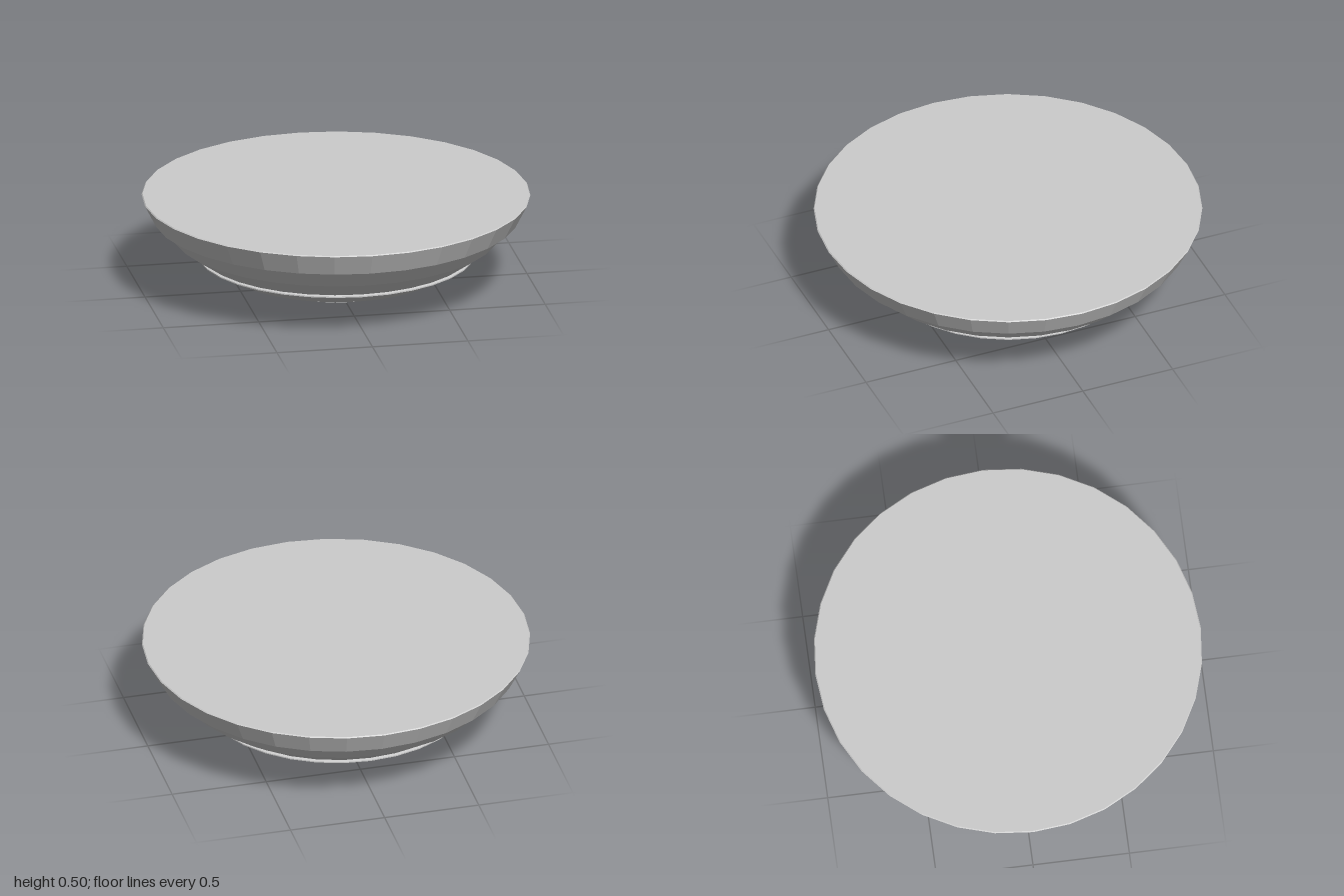
import * as THREE from 'three';

const SIDES = 32;
const material = new THREE.MeshStandardMaterial({ color: 0xcccccc, flatShading: true });

// Turns a list of [radius, height] pairs into a faceted ring
function turned(name, profile) {
  const points = profile.map(([r, y]) => new THREE.Vector2(r, y));
  const mesh = new THREE.Mesh(new THREE.LatheGeometry(points, SIDES), material);
  mesh.name = name;
  return mesh;
}

export function createModel() {
  const group = new THREE.Group();
  group.name = 'shallowDish';
  group.add(
    // Flat base flaring to the first small step
    turned('foot', [[0, 0], [0.2, 0], [0.385, 0.037], [0.385, 0.043], [0.37, 0.046]]),
    // Narrow band leading to an overhanging ledge
    turned('lowerBand', [[0.37, 0.046], [0.535, 0.1], [0.565, 0.1]]),
    turned('middleBand', [[0.565, 0.1], [0.715, 0.174], [0.715, 0.18], [0.7, 0.184]]),
    // Rounded wall in two slopes
    turned('upperWall', [[0.7, 0.184], [0.835, 0.277], [0.925, 0.378], [0.942, 0.378]]),
    // Rim with a fine bevel
    turned('rim', [[0.942, 0.378], [1, 0.492], [0.995, 0.497]]),
    // Closed flat top
    turned('topSurface', [[0.995, 0.497], [0, 0.497]])
  );
  return group;
}
